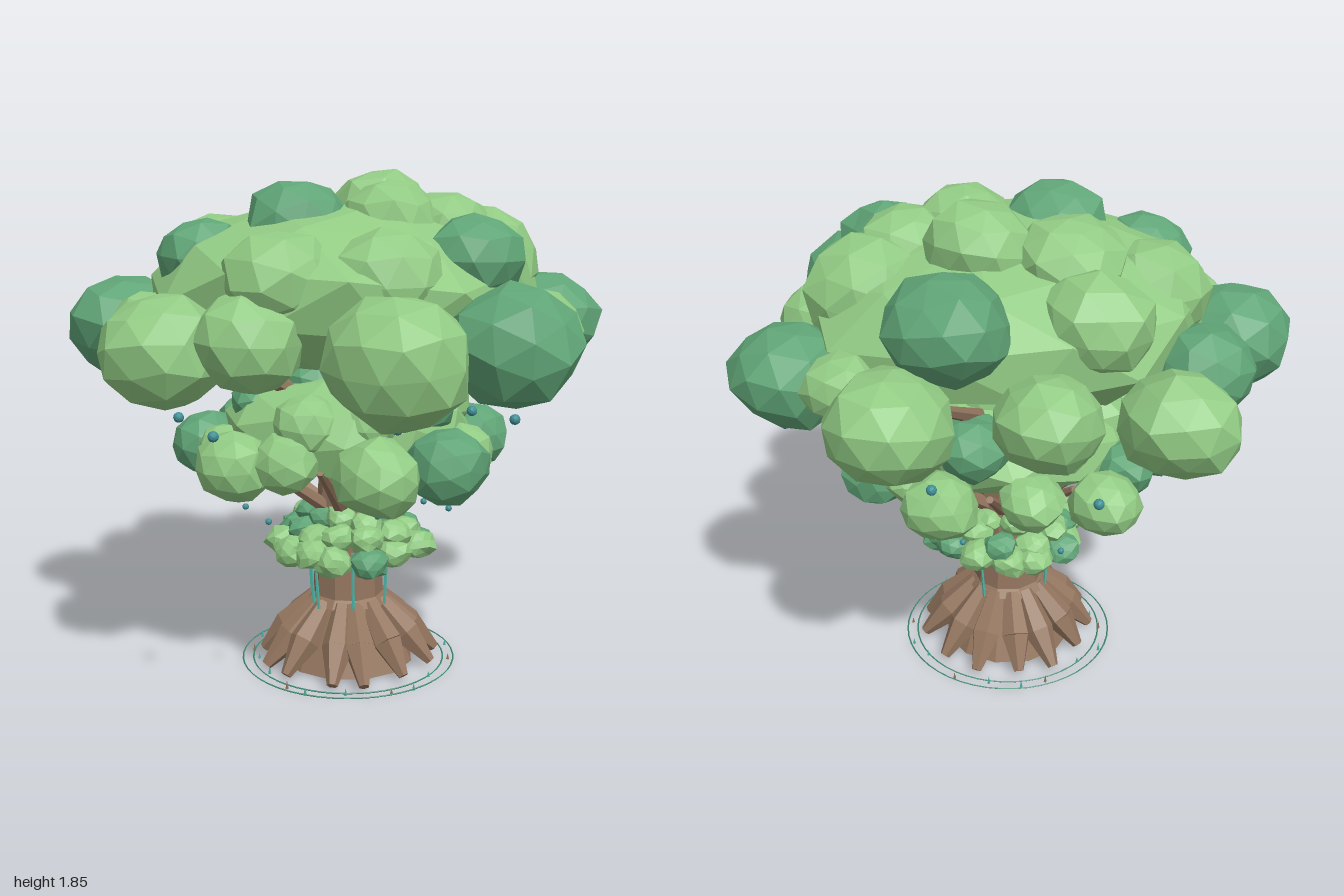
import * as THREE from 'three';

const mat = (color) => new THREE.MeshStandardMaterial({ color, flatShading: true });
const LIGHT = mat(0x92cb84), DARK = mat(0x60a577), BARK = mat(0x94765f);
const TEAL = mat(0x4fb3a5), ORB = mat(0x3f8f94), RING = mat(0x3f8a70);

let seed = 7;
const rand = () => (seed = (seed * 16807) % 2147483647) / 2147483647;

function add(parent, name, geometry, material, x = 0, y = 0, z = 0) {
  const mesh = new THREE.Mesh(geometry, material);
  mesh.name = name;
  mesh.position.set(x, y, z);
  parent.add(mesh);
  return mesh;
}

// Faceted leaf clump; the offset depends on the corner so faces stay joined
function clump(rx, ry, rz, jitter = 0.1, floor = -Infinity) {
  const g = new THREE.IcosahedronGeometry(1, 1);
  g.rotateX(rand() * 6).rotateY(rand() * 6);
  const p = g.attributes.position, v = new THREE.Vector3(), phase = rand() * 20;
  for (let i = 0; i < p.count; i++) {
    v.fromBufferAttribute(p, i);
    const k = 1 + jitter * Math.sin(v.x * 7 + phase) * Math.cos(v.y * 6 + v.z * 8 + phase);
    p.setXYZ(i, v.x * rx * k, Math.max(v.y * ry * k, floor), v.z * rz * k);
  }
  g.computeVertexNormals();
  return g;
}

// Tapered limb between two points
function limb(parent, name, a, b, ra, rb, sides, material) {
  const dir = b.clone().sub(a);
  const mesh = add(parent, name, new THREE.CylinderGeometry(rb, ra, dir.length(), sides), material);
  mesh.position.copy(a).addScaledVector(dir, 0.5);
  mesh.quaternion.setFromUnitVectors(new THREE.Vector3(0, 1, 0), dir.normalize());
  return mesh;
}
const polar = (r, y, a) => new THREE.Vector3(r * Math.sin(a), y, r * Math.cos(a));

// Clumps of one canopy: x, y, z, radius, dark
const CLUMPS = [
  // outer ring
  [-0.29, 0, -0.8, 0.2, 0], [0.1, 0.02, -0.69, 0.18, 0], [0.58, 0.02, -0.57, 0.21, 0],
  [0.79, 0, -0.06, 0.21, 1], [0.58, 0.02, 0.35, 0.18, 0], [0.38, 0.02, 0.67, 0.23, 1],
  [-0.03, 0, 0.76, 0.24, 0], [-0.45, 0.04, 0.46, 0.19, 0], [-0.71, 0, 0.34, 0.22, 0],
  [-0.77, 0, -0.24, 0.22, 1], [-0.72, 0.04, 0.02, 0.14, 0], [-0.5, 0.04, -0.54, 0.18, 1],
  [0.66, 0.04, -0.29, 0.14, 0],
  // shoulder
  [0.35, 0.27, -0.46, 0.21, 1], [0.34, 0.28, 0.38, 0.17, 1], [-0.52, 0.27, 0, 0.16, 1],
  [0, 0.22, 0.46, 0.2, 0], [-0.33, 0.22, 0.4, 0.2, 0], [-0.42, 0.22, -0.25, 0.22, 0],
  [-0.12, 0.24, -0.5, 0.2, 0], [0.5, 0.24, 0.02, 0.22, 0],
  // crown
  [-0.2, 0.38, 0.07, 0.19, 1], [0.15, 0.41, -0.15, 0.18, 0], [0.12, 0.39, 0.14, 0.18, 0],
  [-0.12, 0.36, -0.28, 0.19, 0], [0.33, 0.34, 0.1, 0.18, 0],
];
const ORBS = [[-0.71, -0.24], [-0.67, 0.4], [-0.6, 0.7], [-0.03, 0.75], [-0.01, -0.85], [0.29, 0.54],
  [0.38, 0.7], [0.46, -0.6], [0.66, -0.16], [0.82, 0]];

function canopy(name) {
  const g = new THREE.Group();
  g.name = name;
  add(g, 'leafDome', clump(0.72, 0.33, 0.68, 0.06, -0.2), LIGHT, 0, 0.14, 0);
  CLUMPS.forEach(([x, y, z, r, dark]) =>
    add(g, 'leafClump', clump(r, r * 0.88, r), dark ? DARK : LIGHT, x, y, z));
  ORBS.forEach(([x, z]) => add(g, 'hangingOrb', new THREE.IcosahedronGeometry(0.018, 1), ORB, x, -0.21, z));
  return g;
}

export function createModel() {
  const model = new THREE.Group();
  model.name = 'tree';

  // Trunk
  add(model, 'trunkBase', new THREE.CylinderGeometry(0.14, 0.25, 0.25, 12), BARK, 0, 0.135, 0);
  add(model, 'trunk', new THREE.CylinderGeometry(0.11, 0.135, 0.5, 10), BARK, 0, 0.49, 0);
  add(model, 'upperTrunk', new THREE.CylinderGeometry(0.07, 0.11, 0.56, 10), BARK, 0, 1.0, 0);
  add(model, 'trunkCollar', new THREE.CylinderGeometry(0.135, 0.16, 0.03, 10), BARK, 0, 0.26, 0);

  // Roots: a thick shoulder that narrows to a toe
  const ROOTS = 13;
  for (let i = 0; i < ROOTS; i++) {
    const a = (i / ROOTS) * Math.PI * 2 + (rand() - 0.5) * 0.15;
    const toe = 0.31 + rand() * 0.035;
    const knee = polar(0.23, 0.13, a);
    limb(model, 'rootShoulder', polar(0.12, 0.25, a), knee, 0.035, 0.058, 6, BARK);
    limb(model, 'rootToe', knee, polar(toe, 0.025, a), 0.058, 0.02, 6, BARK);
  }

  // Branches fanning up into both large canopies
  for (let i = 0; i < 8; i++) {
    const a = (i / 8) * Math.PI * 2 + 0.3;
    limb(model, 'lowerBranch', polar(0.07, 0.6, a), polar(0.4, 0.84, a), 0.03, 0.014, 6, BARK);
  }
  for (let i = 0; i < 7; i++) {
    const a = (i / 7) * Math.PI * 2 + 0.6;
    limb(model, 'upperBranch', polar(0.06, 0.98, a), polar(0.58, 1.26, a), 0.038, 0.018, 6, BARK);
  }

  // Large canopies
  const top = canopy('topCanopy');
  top.position.y = 1.28;
  const middle = canopy('middleCanopy');
  middle.scale.setScalar(0.645);
  middle.position.y = 0.845;
  model.add(top, middle);

  // Small collar of leaves around the trunk: count, ring radius, height, clump size
  const collar = new THREE.Group();
  collar.name = 'leafCollar';
  [[14, 0.245, 0.475, 0.07], [12, 0.19, 0.53, 0.065], [9, 0.13, 0.585, 0.06]].forEach(([n, r, y, s]) => {
    for (let i = 0; i < n; i++) {
      const p = polar(r + (rand() - 0.5) * 0.05, y + (rand() - 0.5) * 0.03, ((i + rand() * 0.4) / n) * Math.PI * 2);
      add(collar, 'leafClump', clump(s, s * 0.8, s, 0.18), rand() < 0.3 ? DARK : LIGHT, p.x, p.y, p.z);
    }
  });
  model.add(collar);

  // Hanging vines
  [[-0.14, 0.11], [-0.02, 0.16], [0.11, 0.12], [0.13, -0.1], [-0.12, -0.1], [-0.145, 0.05]].forEach(([x, z]) =>
    limb(model, 'vine', new THREE.Vector3(x, 0.25, z), new THREE.Vector3(x * 1.1, 0.47, z * 0.95), 0.006, 0.006, 5, TEAL));

  // Thin ground rings with sprouts between them
  [0.365, 0.405].forEach((r) => {
    add(model, 'groundRing', new THREE.TorusGeometry(r, 0.003, 4, 48).rotateX(Math.PI / 2), RING, 0, 0.012, 0);
  });
  for (let i = 0; i < 18; i++) {
    const p = polar(0.34 + rand() * 0.06, 0.02, (i / 18) * Math.PI * 2 + rand() * 0.2);
    add(model, 'sprout', new THREE.ConeGeometry(0.006, 0.02 + rand() * 0.015, 4), i % 3 ? TEAL : BARK, p.x, p.y, p.z);
  }
  return model;
}
